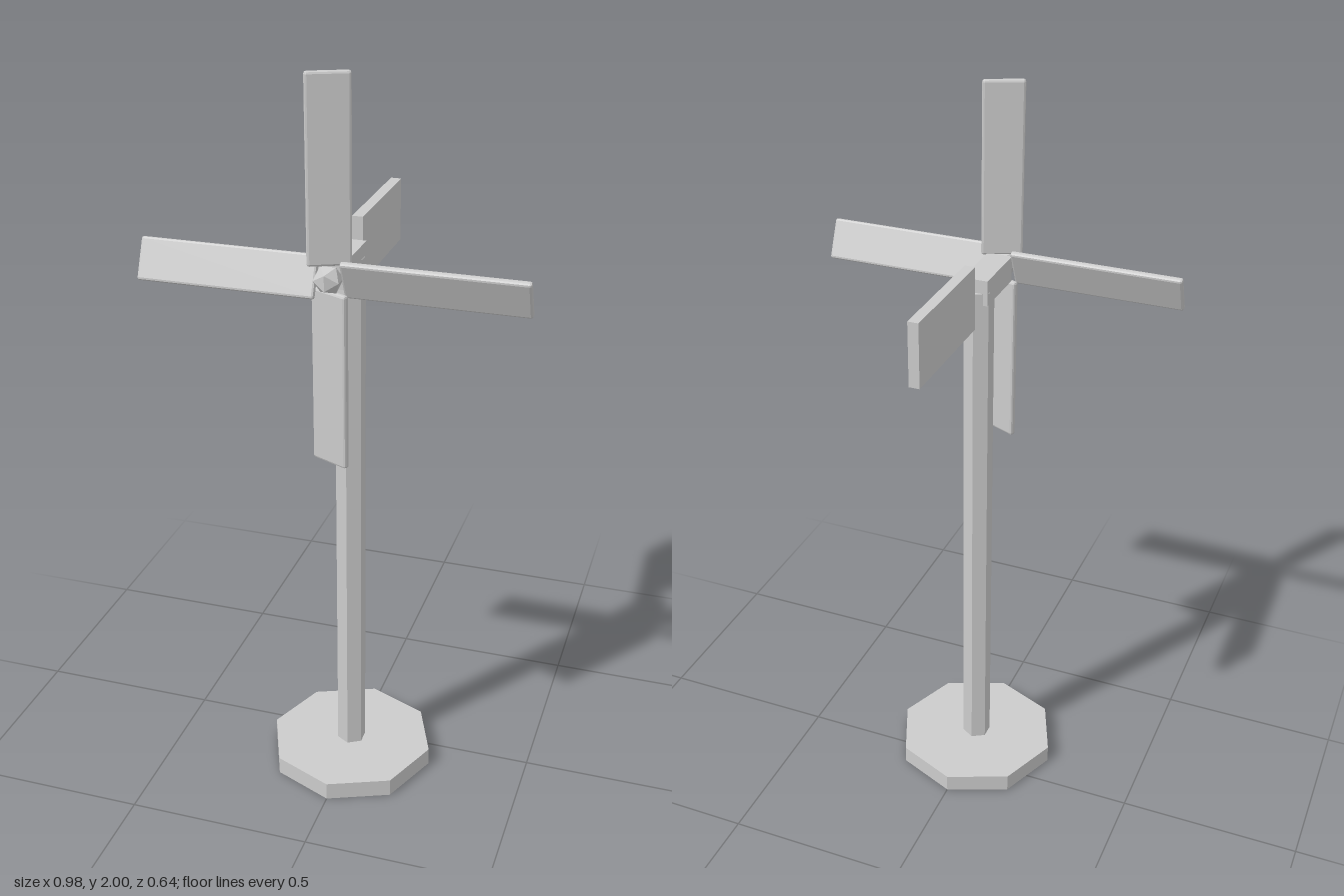
import * as THREE from 'three';
import { RoundedBoxGeometry } from 'three/addons/geometries/RoundedBoxGeometry.js';

export function createModel() {
  const model = new THREE.Group();
  model.name = 'windmill';
  const material = new THREE.MeshStandardMaterial({ color: 0xcccccc, flatShading: true });

  const add = (name, geometry, x, y, z, parent = model) => {
    const mesh = new THREE.Mesh(geometry, material);
    mesh.name = name;
    mesh.position.set(x, y, z);
    parent.add(mesh);
    return mesh;
  };

  const poleZ = 0.087;
  const axleY = 1.51;

  // Octagonal foot and hexagonal pole
  add('base', new THREE.CylinderGeometry(0.231, 0.231, 0.05, 8), 0, 0.025, poleZ);
  add('pole', new THREE.CylinderGeometry(0.04, 0.04, 1.47, 6), 0, 0.775, poleZ);

  // Head block reaching forward to the rotor
  add('head', new THREE.BoxGeometry(0.068, 0.068, 0.172), 0, 1.512, 0.146);

  // Tail vane
  add('tailVane', new THREE.BoxGeometry(0.028, 0.17, 0.346), 0, axleY, -0.146);

  // Rotor: faceted hub with four pitched blades
  const rotor = new THREE.Group();
  rotor.name = 'rotor';
  rotor.position.set(0, axleY, 0.248);
  model.add(rotor);
  add('hub', new THREE.IcosahedronGeometry(0.038, 0), 0, 0, 0.01, rotor);

  const inner = 0.032, outer = 0.49;
  const bladeGeometry = new RoundedBoxGeometry(0.108, outer - inner, 0.0175, 1, 0.006);
  for (let i = 0; i < 4; i++) {
    const arm = new THREE.Group();
    arm.name = 'bladeArm' + (i + 1);
    arm.rotation.z = -i * Math.PI / 2;
    rotor.add(arm);
    const blade = add('blade' + (i + 1), bladeGeometry, 0, (inner + outer) / 2, 0, arm);
    blade.rotation.y = THREE.MathUtils.degToRad(24);
  }

  return model;
}
